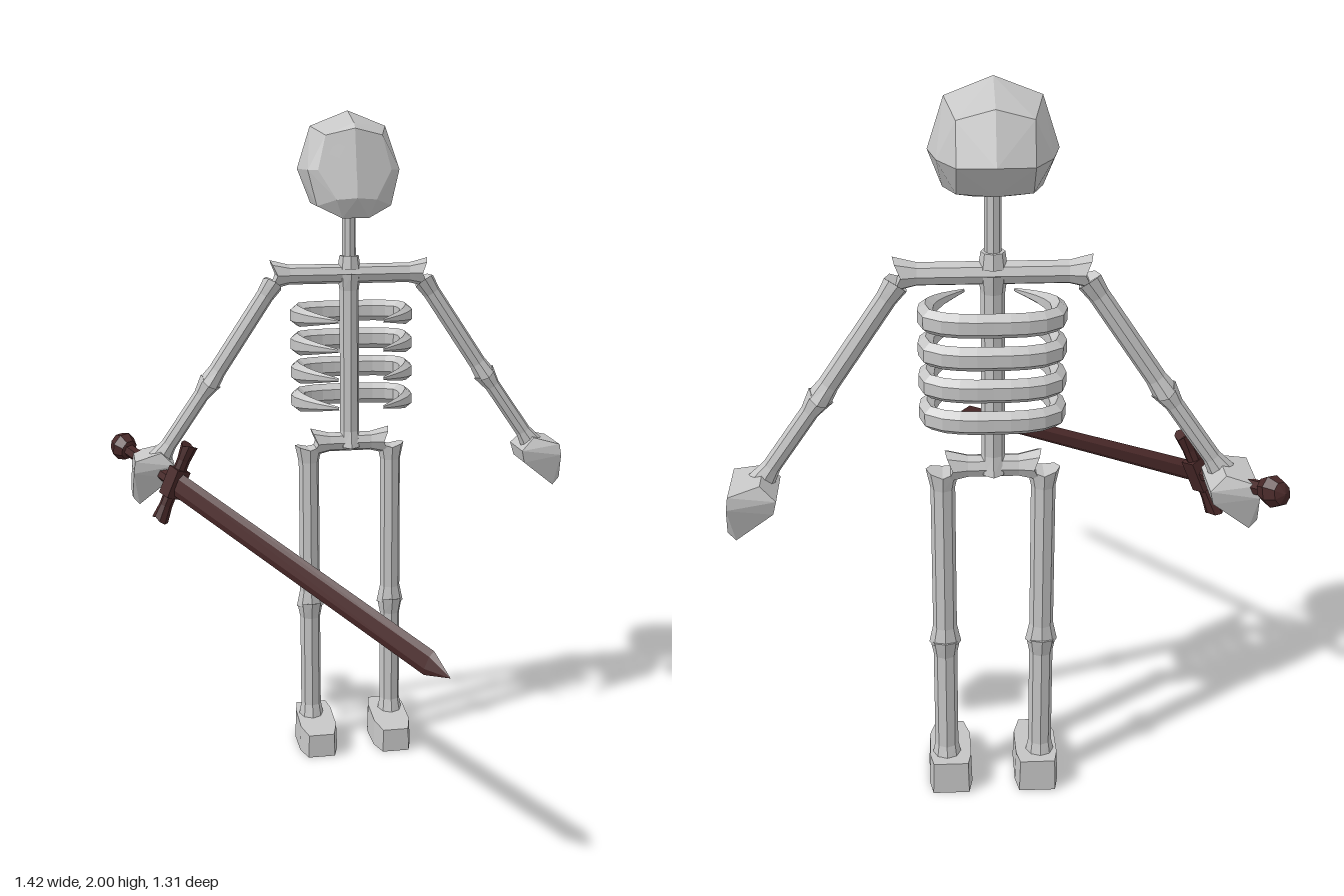
import * as THREE from 'three';
import { ConvexGeometry } from 'three/addons/geometries/ConvexGeometry.js';

const CX = 0.03, CZ = -0.46; // body axis
const V = (x, y, z) => new THREE.Vector3(x, y, z);

// Low-poly facets without shared normals
function flat(g) {
  const f = g.index ? g.toNonIndexed() : g;
  f.computeVertexNormals();
  return f;
}

// Move every vertex by a rule
function warp(g, rule) {
  const p = g.attributes.position, v = V(0, 0, 0);
  for (let i = 0; i < p.count; i++) {
    v.fromBufferAttribute(p, i);
    rule(v, i);
    p.setXYZ(i, v.x, v.y, v.z);
  }
  return g;
}

// Shaft from a to b with flared, forked ends; the fork opens along hint
function boneGeometry(a, b, r, hint, flare = 1.5, fork = 0.02) {
  const dir = b.clone().sub(a), len = dir.length(), h = len / 2;
  dir.normalize();
  const g = warp(new THREE.CylinderGeometry(r, r, len, 8, 3), (v) => {
    if (Math.abs(v.y) > h - 1e-4) {
      v.y += Math.sign(v.y) * fork * (Math.abs(v.x) / r - 0.3);
      v.x *= flare;
      v.z *= 1 + (flare - 1) * 0.5;
    } else v.y = Math.sign(v.y) * (h - 0.045);
  });
  const x = hint.clone().addScaledVector(dir, -hint.dot(dir)).normalize();
  const z = x.clone().cross(dir);
  g.applyMatrix4(new THREE.Matrix4().makeBasis(x, dir, z));
  g.translate((a.x + b.x) / 2, (a.y + b.y) / 2, (a.z + b.z) / 2);
  return flat(g);
}

// Convex solid from half the points, mirrored across x = 0
function mirroredHull(pts) {
  const all = [];
  for (const [x, y, z] of pts) {
    all.push(V(x, y, z));
    if (x) all.push(V(-x, y, z));
  }
  return flat(new ConvexGeometry(all));
}

// Slanted plane of the face, folded along the middle
const faceZ = (x, y) => -0.3 - 0.2 * (y - 1.69) - 0.25 * Math.abs(x);

export function createModel() {
  const model = new THREE.Group();
  const bone = new THREE.MeshStandardMaterial({ color: 0xc6c6c6 });
  bone.name = 'bone grey';
  const iron = new THREE.MeshStandardMaterial({ color: 0x482828 });
  iron.name = 'dark rust';
  const add = (name, geometry, material = bone, parent = model) => {
    const m = new THREE.Mesh(geometry, material);
    m.name = name;
    parent.add(m);
    return m;
  };
  const X = V(1, 0, 0), Y = V(0, 1, 0);
  const at = (x, y, z = CZ) => V(CX + x, y, z);

  // Head
  const head = new THREE.Group();
  head.name = 'head';
  head.position.x = CX;
  model.add(head);
  const face = [[0, 1.95], [0.085, 1.93], [0.11, 1.83], [0, 1.75], [0.06, 1.745]]
    .map(([x, y]) => [x, y, faceZ(x, y)]);
  add('skull', mirroredHull([
    ...face,
    [0, 2.0, -0.48], [0, 1.965, -0.37], [0, 1.95, -0.6], [0, 1.83, -0.655],
    [0.115, 1.955, -0.48], [0.09, 1.925, -0.595], [0.09, 1.825, -0.635],
    [0.155, 1.83, -0.48], [0.138, 1.83, -0.375], [0.135, 1.83, -0.575],
    [0.09, 1.745, -0.565], [0, 1.745, -0.59], [0.12, 1.73, -0.45], [0.112, 1.725, -0.37],
    [0.04, 1.69, -0.345], [0.045, 1.695, -0.42],
  ]), bone, head);
  const plate = (name, x, y, rx, ry, sides) => {
    const g = new THREE.CircleGeometry(1, sides, Math.PI / 2);
    warp(g, (v) => {
      v.x = x + v.x * rx;
      v.y = y + v.y * ry;
      v.z = faceZ(v.x, v.y) + 0.003;
    });
    add(name, flat(g), bone, head);
  };
  plate('leftEye', 0.048, 1.865, 0.032, 0.041, 10);
  plate('rightEye', -0.048, 1.865, 0.032, 0.041, 10);
  plate('nose', 0, 1.8, 0.028, 0.025, 6);

  // Spine, collar and hips
  add('neck', boneGeometry(at(0, 1.5), at(0, 1.76), 0.021, X, 1.3, 0.005));
  add('neckBase', flat(new THREE.CylinderGeometry(0.03, 0.036, 0.04, 8).translate(CX, 1.55, CZ)));
  add('spine', boneGeometry(at(0, 0.98), at(0, 1.51), 0.03, V(0, 0, 1), 1.4, 0.01));
  add('collarBone', boneGeometry(at(-0.23, 1.515), at(0.23, 1.515), 0.03, Y));
  add('hipBone', boneGeometry(at(-0.11, 0.99), at(0.11, 0.99), 0.03, Y));

  // Ribs, thinning towards the front tips
  const half = [[0.09, -0.505], [0.155, -0.475], [0.165, -0.4], [0.13, -0.33], [0.066, -0.262]];
  const ribPath = new THREE.CatmullRomCurve3([
    ...half.slice().reverse().map(([x, z]) => V(-x, 0, z)),
    V(0, 0, -0.51),
    ...half.map(([x, z]) => V(x, 0, z)),
  ]);
  const rows = 20, sides = 6;
  const ribGeometry = flat(warp(new THREE.TubeGeometry(ribPath, rows, 0.023, sides), (v, i) => {
    const t = Math.floor(i / (sides + 1)) / rows;
    const s = Math.min(1, 0.15 + 4 * Math.min(t, 1 - t));
    v.sub(ribPath.getPointAt(t)).multiplyScalar(s);
    v.y *= 1.4;
    v.add(ribPath.getPointAt(t));
  }));
  for (let i = 0; i < 4; i++) add('rib' + (i + 1), ribGeometry).position.set(CX, 1.395 - i * 0.087, 0);

  // Limbs on both sides
  for (const s of [1, -1]) {
    const side = s > 0 ? 'left' : 'right';
    const shoulder = at(s * 0.235, 1.49), elbow = at(s * 0.435, 1.19), wrist = at(s * 0.59, 0.965);
    add(side + 'UpperArm', boneGeometry(shoulder, elbow, 0.027, V(0, 0, 1), 1.4, 0.012));
    add(side + 'Forearm', boneGeometry(elbow, wrist, 0.024, X, 1.5, 0.012));

    // Fist: broad at the wrist, narrow at the knuckles
    const fist = [];
    for (const f of [1, -1]) {
      for (const [x, y, w] of [
        [0.55, 0.945, 0.07], [0.59, 0.985, 0.06], [0.67, 0.965, 0.08], [0.675, 0.93, 0.083],
        [0.68, 0.85, 0.05], [0.66, 0.825, 0.048], [0.56, 0.905, 0.062],
      ]) fist.push(at(s * x, y, -0.48 + f * w));
    }
    add(side + 'Hand', flat(new ConvexGeometry(fist)));

    const hip = at(s * 0.13, 0.975), knee = at(s * 0.13, 0.465), ankle = at(s * 0.13, 0.08);
    add(side + 'Thigh', boneGeometry(knee, hip, 0.032, X, 1.35, 0.012));
    add(side + 'Shin', boneGeometry(ankle, knee, 0.032, V(0, 0, 1), 1.5, 0.015));

    // Foot: block with chamfered toe and sloping top
    const foot = [];
    for (const [w, z] of [[0.05, -0.53], [0.06, -0.48], [0.06, -0.37], [0.042, -0.305]]) {
      foot.push([w, 0, z], [w * 0.95, 0.098 - (z + 0.53) * 0.11, z]);
    }
    add(side + 'Foot', mirroredHull(foot)).position.x = CX + s * 0.12;
  }

  // Sword: local z runs to the tip, local y across the blade
  const sword = new THREE.Group();
  sword.name = 'sword';
  const d = V(0.75, -0.35, 1.25).normalize();
  const u = V(0.38, 0.92, 0.03);
  u.addScaledVector(d, -u.dot(d)).normalize();
  sword.quaternion.setFromRotationMatrix(
    new THREE.Matrix4().makeBasis(u.clone().cross(d), u, d));
  sword.position.set(-0.525, 0.905, -0.365);
  model.add(sword);
  const along = (g, z, thin = 1) => flat(g.rotateX(Math.PI / 2).scale(thin, 1, 1).translate(0, 0, z));
  add('blade', along(new THREE.CylinderGeometry(0.034, 0.036, 1.14, 6), 0.57, 0.33), iron, sword);
  add('bladeTip', along(new THREE.ConeGeometry(0.034, 0.08, 6), 1.18, 0.33), iron, sword);
  add('guard', boneGeometry(V(0, -0.12, 0), V(0, 0.12, 0), 0.02, V(0, 0, 1), 1.4, 0.012), iron, sword);
  add('guardCentre', flat(new THREE.BoxGeometry(0.05, 0.09, 0.045)), iron, sword);
  add('grip', along(new THREE.CylinderGeometry(0.02, 0.02, 0.28, 6), -0.14), iron, sword);
  add('pommel', along(new THREE.SphereGeometry(0.045, 8, 4), -0.285, 0.85), iron, sword);

  return model;
}
